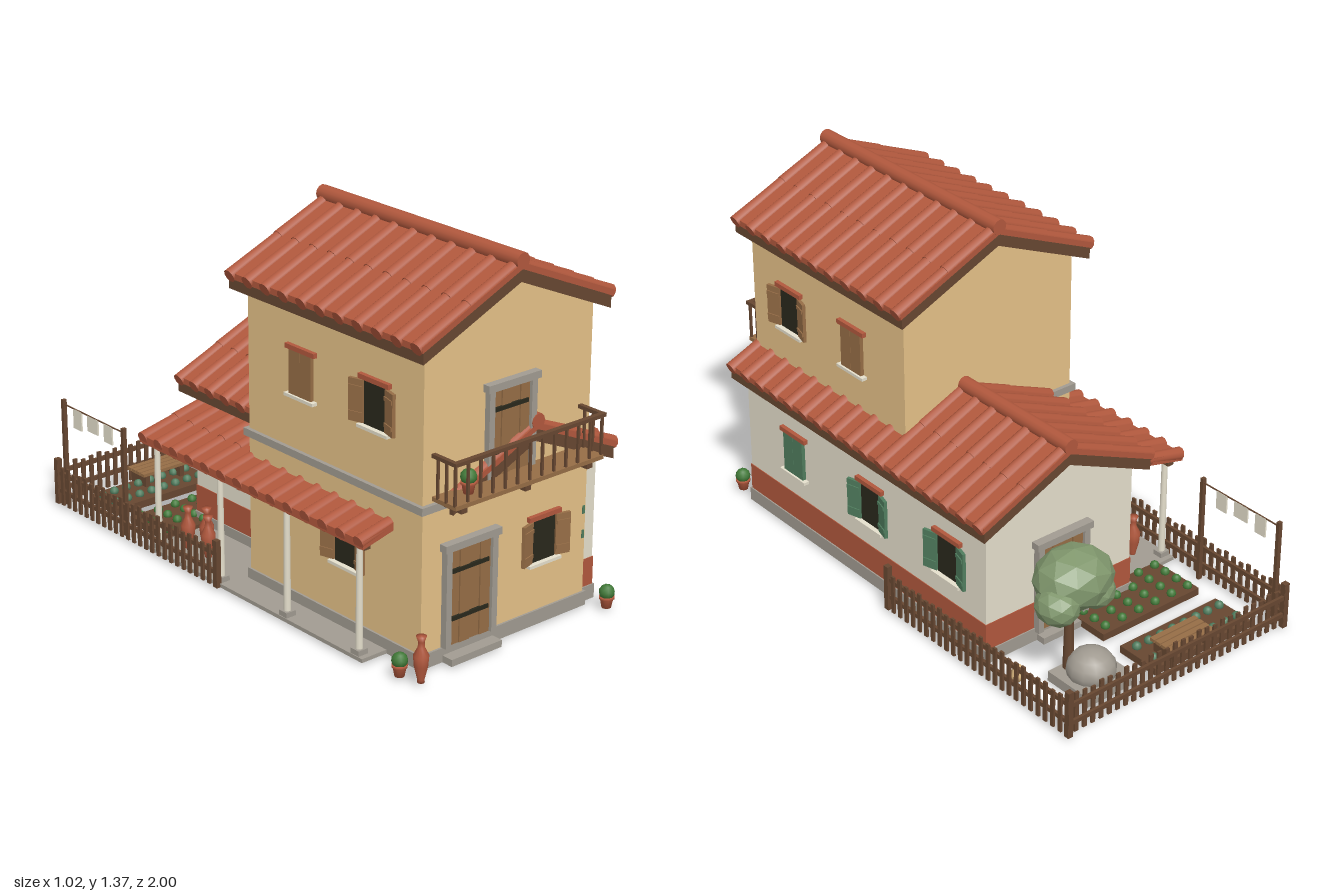
import * as THREE from 'three';

const mat = (name, color, opt = {}) => Object.assign(new THREE.MeshStandardMaterial({ color, ...opt }), { name });
const DS = { side: THREE.DoubleSide };
const plaster = mat('ochre plaster', 0xe5c187), lime = mat('pale lime', 0xe5dfcc, DS), tile = mat('terracotta', 0xb1583d, DS),
  stone = mat('grey stone', 0xa19b91), wood = mat('brown wood', 0x966d46), darkWood = mat('dark wood', 0x674731),
  dark = mat('dark opening', 0x29281c), green = mat('green shutters', 0x507d5e), leaf = mat('plant green', 0x417a38),
  olive = mat('olive foliage', 0x80976d, { flatShading: true });

function add(parent, name, geo, m, x = 0, y = 0, z = 0) {
  const o = new THREE.Mesh(geo, m);
  o.name = name; o.position.set(x, y, z); parent.add(o);
  return o;
}
// box given by its min and max on every axis
const block = (p, name, m, x0, x1, y0, y1, z0, z1) =>
  add(p, name, new THREE.BoxGeometry(x1 - x0, y1 - y0, z1 - z0), m, (x0 + x1) / 2, (y0 + y1) / 2, (z0 + z1) / 2);
function part(parent, name, x = 0, y = 0, z = 0, ry = 0) {
  const g = new THREE.Group();
  g.name = name; g.position.set(x, y, z); g.rotation.y = ry; parent.add(g);
  return g;
}
function prism(p, name, m, pts, z0, z1) {
  const s = new THREE.Shape(pts.map(a => new THREE.Vector2(...a)));
  return add(p, name, new THREE.ExtrudeGeometry(s, { depth: z1 - z0, bevelEnabled: false }), m, 0, 0, z0);
}

const SLOPE = 0.435;
// rows of overlapping cover tiles from the top edge to the eave
function tileRun(p, xt, yt, xb, yb, z0, z1, segs) {
  const len = Math.hypot(xt - xb, yt - yb), n = Math.round((z1 - z0) / 0.087);
  const geo = new THREE.CylinderGeometry(0.0215, 0.0245, len / segs + 0.006, 10);
  for (let i = 0; i < n; i++) for (let k = 0; k < segs; k++) {
    const t = (k + 0.5) / segs;
    const c = add(p, 'coverTile', geo, tile, xt + (xb - xt) * t, yt + (yb - yt) * t - 0.009, z0 + 0.025 + i * (z1 - z0 - 0.05) / (n - 1));
    c.rotation.z = Math.atan2(xb - xt, yt - yb);
  }
}
// gabled roof: dark boards, tile bed, cover tiles and round ridge
function gableRoof(p, name, cx, yb, hw, z0, z1) {
  const g = part(p, name, cx);
  const chevron = (w, y, t) => [[-w, y - SLOPE * w], [0, y], [w, y - SLOPE * w], [w, y - SLOPE * w + t], [0, y + t], [-w, y - SLOPE * w + t]];
  prism(g, 'roofBoards', darkWood, chevron(hw - 0.012, yb - 0.01, 0.044), z0 + 0.005, z1 - 0.005);
  prism(g, 'tileBed', tile, chevron(hw - 0.004, yb + 0.034, 0.022), z0, z1);
  for (const s of [-1, 1]) tileRun(g, 0, yb + 0.056, s * hw, yb + 0.056 - SLOPE * hw, z0, z1, 2);
  add(g, 'ridgeTile', new THREE.CylinderGeometry(0.028, 0.028, z1 - z0 + 0.004, 12), tile, 0, yb + 0.062, (z0 + z1) / 2).rotation.x = Math.PI / 2;
}

// window facing local +z, centred on x and y; open shutters stand slightly off the wall
function windowUnit(p, x, y, z, ry, m, open) {
  const g = part(p, open ? 'openWindow' : 'shutteredWindow', x, y, z, ry), h = 0.078, w = 0.056;
  block(g, 'lintel', tile, -w - 0.018, w + 0.018, h, h + 0.017, -0.01, 0.016);
  block(g, 'sill', lime, -w - 0.018, w + 0.018, -h - 0.011, -h, -0.01, 0.022);
  if (open) block(g, 'opening', dark, -w, w, -h, h, -0.01, 0.004);
  for (const s of [-1, 1]) {
    if (open) {
      const sh = part(g, 'shutter', s * (w + 0.027), 0, 0.008, -s * 0.27);
      block(sh, 'shutterPanel', m, -0.028, 0.028, -h + 0.004, h - 0.004, 0, 0.012);
      for (const b of [-0.045, 0.045]) block(sh, 'shutterBatten', m, -0.026, 0.026, b - 0.007, b + 0.007, 0.01, 0.016);
    } else block(g, 'shutter', m, s * 0.0283 - 0.0278, s * 0.0283 + 0.0278, -h, h, -0.005, 0.014);
  }
}
// plank door with stone surround, standing on local y = 0
function door(p, x, y, z, ry, w, h) {
  const g = part(p, 'door', x, y, z, ry), n = 4, pw = w / n;
  for (let i = 0; i < n; i++) block(g, 'plank', wood, -w / 2 + i * pw + 0.0008, -w / 2 + (i + 1) * pw - 0.0008, 0, h, -0.005, i % 2 ? 0.011 : 0.007);
  for (const t of [0.28, 0.77]) block(g, 'ironStrap', dark, -w * 0.45, w * 0.45, h * t - 0.007, h * t + 0.007, 0.006, 0.016);
  for (const s of [-1, 1]) block(g, 'jamb', stone, s * (w / 2 + 0.012) - 0.012, s * (w / 2 + 0.012) + 0.012, 0, h, -0.01, 0.022);
  block(g, 'doorLintel', stone, -w / 2 - 0.034, w / 2 + 0.034, h, h + 0.026, -0.01, 0.028);
}

const lathe = (pts, n = 12) => new THREE.LatheGeometry(pts.map(a => new THREE.Vector2(...a)), n);
const amphoraGeo = lathe([[0, 0], [0.013, 0], [0.012, 0.01], [0.024, 0.06], [0.027, 0.095], [0.012, 0.125], [0.011, 0.145], [0.018, 0.165], [0, 0.165]]);
const potGeo = lathe([[0, 0], [0.017, 0], [0.023, 0.032], [0.027, 0.033], [0.027, 0.042], [0, 0.042]]);
const amphora = (p, x, z) => add(p, 'amphora', amphoraGeo, tile, x, 0.02, z);
function pottedPlant(p, x, y, z) {
  const g = part(p, 'pottedPlant', x, y, z);
  add(g, 'pot', potGeo, tile);
  add(g, 'shrub', new THREE.IcosahedronGeometry(0.028, 1), leaf, 0, 0.057, 0);
}
// picket fence from (x0, z0) to (x1, z1)
function fence(p, x0, z0, x1, z1) {
  const L = Math.hypot(x1 - x0, z1 - z0), g = part(p, 'fence', x0, 0, z0, Math.atan2(z0 - z1, x1 - x0)), n = Math.round(L / 0.037);
  for (let i = 1; i < n; i++) block(g, 'picket', darkWood, i * L / n - 0.008, i * L / n + 0.008, 0.015, 0.16 + (i % 3) * 0.005, 0.002, 0.01);
  for (const y of [0.065, 0.135]) block(g, 'fenceRail', darkWood, 0, L, y - 0.008, y + 0.008, -0.008, 0.003);
  for (const x of [0, L]) block(g, 'fencePost', darkWood, x - 0.011, x + 0.011, 0.012, 0.19, -0.01, 0.01);
}

export function createModel() {
  const root = new THREE.Group();
  root.name = 'farmhouse';
  const R = Math.PI / 2;

  // tall front house
  const tower = part(root, 'tower');
  prism(tower, 'towerWalls', plaster, [[-0.37, 0.015], [0.375, 0.015], [0.375, 1.125], [0, 1.288], [-0.37, 1.125]], 0.01, 0.887);
  block(tower, 'towerPlinth', stone, -0.378, 0.383, 0.012, 0.064, 0.002, 0.895);
  block(tower, 'stringCourse', stone, -0.385, 0.39, 0.563, 0.59, -0.005, 0.902);
  gableRoof(tower, 'towerRoof', 0, 1.28, 0.426, -0.04, 0.935);
  door(tower, -0.168, 0.064, 0.89, 0, 0.18, 0.346);
  block(tower, 'doorStep', stone, -0.28, -0.055, 0.012, 0.037, 0.89, 0.94);
  door(tower, 0.002, 0.612, 0.887, 0, 0.165, 0.303);
  windowUnit(tower, 0.172, 0.322, 0.887, 0, wood, true);
  for (const [x, r] of [[0.375, R], [-0.37, -R]]) {
    windowUnit(tower, x, 0.866, 0.662, r, wood, true);
    windowUnit(tower, x, 0.866, 0.295, r, wood, false);
  }
  windowUnit(tower, -0.37, 0.335, 0.52, -R, wood, true);

  // long low wing
  const wing = part(root, 'wing');
  prism(wing, 'wingWalls', lime, [[-0.21, 0.015], [0.44, 0.015], [0.44, 0.564], [0.115, 0.705], [-0.21, 0.564]], -0.5, 0.865);
  block(wing, 'paintedDado', tile, -0.213, 0.443, 0.06, 0.167, -0.503, 0.868);
  block(wing, 'wingPlinth', stone, -0.218, 0.448, 0.012, 0.064, -0.508, 0.873);
  gableRoof(wing, 'wingRoof', 0.115, 0.7, 0.38, -0.55, 0.91);
  windowUnit(wing, 0.44, 0.338, 0.576, R, green, false);
  for (const z of [0.126, -0.303]) windowUnit(wing, 0.44, 0.338, z, R, green, true);
  windowUnit(wing, -0.21, 0.338, -0.32, -R, green, false);
  for (const y of [0.28, 0.37]) block(wing, 'frontShutterEdge', green, 0.36, 0.37, y - 0.015, y + 0.015, 0.86, 0.89);
  door(wing, 0.115, 0.05, -0.506, Math.PI, 0.18, 0.34);
  block(wing, 'backStep', stone, 0.01, 0.22, 0.012, 0.037, -0.545, -0.5);

  // balcony
  const balcony = part(root, 'balcony');
  block(balcony, 'balconyFloor', wood, -0.33, 0.335, 0.598, 0.613, 0.885, 0.998);
  for (const x of [-0.28, 0.002, 0.285]) block(balcony, 'bracket', darkWood, x - 0.013, x + 0.013, 0.573, 0.598, 0.885, 0.985);
  block(balcony, 'frontHandrail', darkWood, -0.335, 0.34, 0.748, 0.761, 0.982, 1);
  for (let i = 0; i <= 12; i++) block(balcony, 'baluster', darkWood, -0.327 + i * 0.0547 - 0.004, -0.327 + i * 0.0547 + 0.004, 0.61, 0.75, 0.986, 0.995);
  for (const x of [-0.327, 0.33]) {
    block(balcony, 'sideHandrail', darkWood, x - 0.008, x + 0.008, 0.748, 0.761, 0.887, 0.99);
    for (const z of [0.91, 0.95]) block(balcony, 'sideBaluster', darkWood, x - 0.004, x + 0.004, 0.61, 0.75, z - 0.004, z + 0.004);
  }
  pottedPlant(balcony, -0.222, 0.613, 0.94);

  // lean-to porch on the left-hand wall
  const porch = part(root, 'porch');
  prism(porch, 'porchTileBed', tile, [[-0.5, 0.428], [-0.205, 0.5], [-0.205, 0.528], [-0.5, 0.457]], -0.45, 0.75);
  tileRun(porch, -0.205, 0.528, -0.5, 0.457, -0.455, 0.753, 2);
  block(porch, 'porchBeam', darkWood, -0.475, -0.45, 0.412, 0.437, -0.43, 0.73);
  block(porch, 'porchFloor', stone, -0.485, -0.21, 0.012, 0.026, -0.44, 0.73);
  for (const z of [-0.4, -0.04, 0.32, 0.69]) {
    add(porch, 'porchPost', new THREE.CylinderGeometry(0.011, 0.013, 0.39, 10), lime, -0.462, 0.22, z);
    block(porch, 'postBase', stone, -0.482, -0.442, 0.02, 0.045, z - 0.02, z + 0.02);
  }
  for (const [x, z] of [[-0.385, -0.33], [-0.38, -0.22], [-0.34, -0.28]]) amphora(porch, x, z);
  amphora(root, -0.437, 0.963);
  pottedPlant(root, -0.45, 0.012, 0.875);
  pottedPlant(root, 0.425, 0.012, 0.955);

  // back garden
  const garden = part(root, 'garden');
  fence(garden, -0.49, -0.987, 0.494, -0.987);
  fence(garden, 0.494, -0.03, 0.494, -0.987);
  fence(garden, -0.49, -0.987, -0.49, -0.03);
  const cabbage = new THREE.IcosahedronGeometry(0.017, 1);
  for (const [z0, z1, cols, rows, m] of [[-0.92, -0.745, 8, [-0.875, -0.79], green], [-0.66, -0.44, 6, [-0.63, -0.573, -0.515, -0.46], leaf]]) {
    const bed = part(garden, 'vegetableBed');
    block(bed, 'soil', darkWood, -0.4, 0.05, 0.012, 0.04, z0, z1);
    for (const z of rows) for (let i = 0; i < cols; i++) add(bed, 'cabbage', cabbage, m, -0.373 + i * 0.388 / (cols - 1), 0.047, z);
  }
  const bench = part(garden, 'bench', -0.108, 0, -0.883);
  for (let i = 0; i < 4; i++) block(bench, 'benchSlat', wood, -0.103, 0.103, 0.085, 0.097, -0.052 + i * 0.027, -0.03 + i * 0.027);
  for (const x of [-0.08, 0.08]) block(bench, 'benchLeg', darkWood, x - 0.01, x + 0.01, 0.015, 0.085, -0.045, 0.045);

  // boulder on a slab, small pot
  block(garden, 'slab', stone, 0.13, 0.345, 0.012, 0.05, -0.91, -0.71);
  add(garden, 'boulder', new THREE.SphereGeometry(0.088, 12, 8), stone, 0.24, 0.074, -0.81).scale.y = 0.82;
  add(garden, 'smallPot', lathe([[0, 0], [0.015, 0], [0.024, 0.025], [0.013, 0.048], [0.017, 0.055], [0, 0.055]]), plaster, 0.425, 0.015, -0.645);

  // tree
  const tree = part(garden, 'tree', 0.275, 0, -0.735);
  add(tree, 'trunk', new THREE.CylinderGeometry(0.013, 0.022, 0.35, 7), darkWood, 0, 0.187, 0);
  for (const [x, y, z, sx, sy, sz] of [[-0.02, 0.4, 0.005, 0.147, 0.11, 0.128], [0.085, 0.352, -0.035, 0.076, 0.07, 0.082], [-0.07, 0.355, -0.04, 0.075, 0.065, 0.075]])
    add(tree, 'foliage', new THREE.IcosahedronGeometry(1, 1), olive, x, y, z).scale.set(sx, sy, sz);

  // washing line
  const line = part(garden, 'washingLine', -0.473);
  for (const z of [-0.585, -0.957]) block(line, 'linePost', darkWood, -0.008, 0.008, 0.012, 0.43, z - 0.007, z + 0.007);
  block(line, 'cord', darkWood, -0.002, 0.002, 0.41, 0.414, -0.957, -0.585);
  for (const [z, w, h] of [[-0.87, 0.05, 0.075], [-0.775, 0.065, 0.06], [-0.68, 0.05, 0.07]]) block(line, 'cloth', lime, -0.003, 0.003, 0.412 - h, 0.412, z - w / 2, z + w / 2);
  return root;
}
